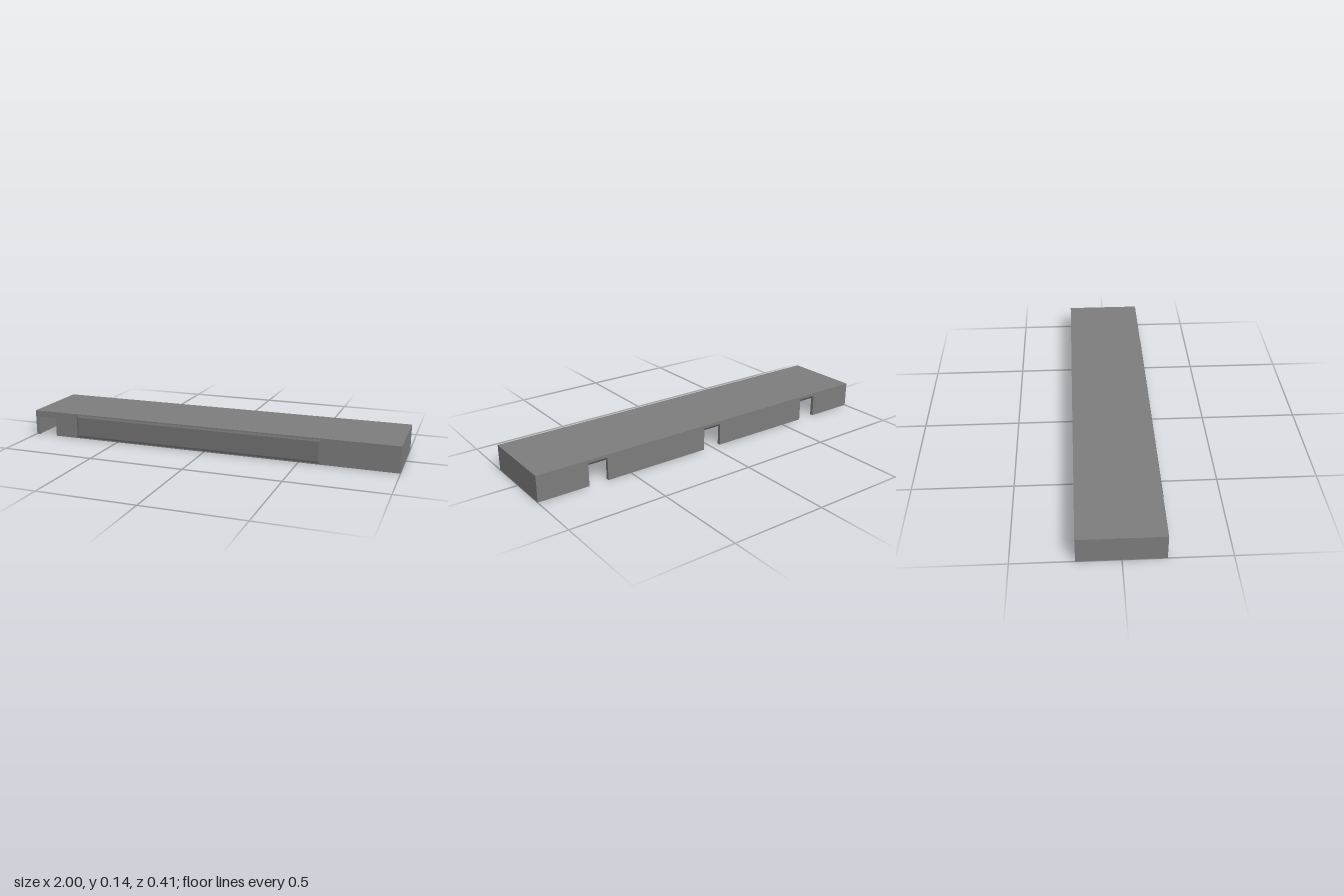
import * as THREE from 'three';

const H = 0.135, T = 0.018, ROOF = 0.015;
const Z_FRONT = 0.203, Z_BACK = -0.207;

const paint = (color) => new THREE.MeshStandardMaterial({ color, flatShading: true });
const bodyGrey = paint(0x7d7d7d);
const panelGrey = paint(0x737373);
const linerGrey = paint(0xcccccc);

function add(group, name, geometry, x = 0, y = 0, z = 0, material = bodyGrey) {
  const mesh = new THREE.Mesh(geometry, material);
  mesh.name = name;
  mesh.position.set(x, y, z);
  group.add(mesh);
}

// Long wall below the roof, with rectangular notches cut up from its lower edge.
// notches: [x start, x end, height], in order of x
function notchedWall(notches) {
  const s = new THREE.Shape();
  s.moveTo(-1 + T, H - ROOF);
  s.lineTo(-1 + T, 0);
  for (const [a, b, h] of notches) {
    s.lineTo(a, 0);
    s.lineTo(a, h);
    s.lineTo(b, h);
    s.lineTo(b, 0);
  }
  s.lineTo(1 - T, 0);
  s.lineTo(1 - T, H - ROOF);
  return new THREE.ExtrudeGeometry(s, { depth: T, bevelEnabled: false });
}

// Bar running along x with a cross-section given as [z, y] points
function bar(points, x0, x1) {
  const s = new THREE.Shape(points.map(([z, y]) => new THREE.Vector2(-z, y)));
  const g = new THREE.ExtrudeGeometry(s, { depth: x1 - x0, bevelEnabled: false });
  return g.rotateY(Math.PI / 2).translate(x0, 0, 0);
}

// Thin box whose front face is inset, so that all four borders slope gently
function pillow(w, h, d, inset) {
  const g = new THREE.BoxGeometry(w, h, d);
  const p = g.attributes.position;
  for (let i = 0; i < p.count; i++) {
    if (p.getZ(i) > 0) {
      p.setX(i, p.getX(i) - Math.sign(p.getX(i)) * inset);
      p.setY(i, p.getY(i) - Math.sign(p.getY(i)) * inset);
    }
  }
  g.computeVertexNormals();
  return g;
}

export function createModel() {
  const model = new THREE.Group();
  model.name = 'cover';
  const depth = Z_FRONT - Z_BACK, zMid = (Z_FRONT + Z_BACK) / 2;

  // Roof and end walls
  add(model, 'roof', new THREE.BoxGeometry(2, ROOF, depth), 0, H - ROOF / 2, zMid);
  for (const side of [-1, 1]) {
    add(model, side > 0 ? 'leftEndWall' : 'rightEndWall',
      new THREE.BoxGeometry(T, H - ROOF, depth), side * (1 - T / 2), (H - ROOF) / 2, zMid);
  }

  // Front wall with one corner notch
  add(model, 'frontWall', notchedWall([[-0.98, -0.875, 0.1]]), 0, 0, Z_FRONT - T);

  // Back wall with three notches, each with a sloping lintel
  const top = H - ROOF;
  const backNotches = [-0.68, 0, 0.68].map((x) => [x - 0.052, x + 0.052, top - 0.001]);
  add(model, 'backWall', notchedWall(backNotches), 0, 0, Z_BACK);
  for (const [a, b] of backNotches) {
    add(model, 'notchLintel', bar([[Z_BACK, top], [Z_BACK + T, top - 0.018], [Z_BACK + T, top]], a, b));
  }

  // Shallow raised panel on the front
  add(model, 'frontPanel', pillow(1.36, 0.128, 0.005, 0.013), -0.065, 0.067, 0.2045, panelGrey);

  // Pale liner on the inside of the front wall
  add(model, 'innerLiner', new THREE.BoxGeometry(1.48, top - 0.001, 0.003), 0, top / 2, Z_FRONT - T - 0.0005, linerGrey);
  return model;
}
